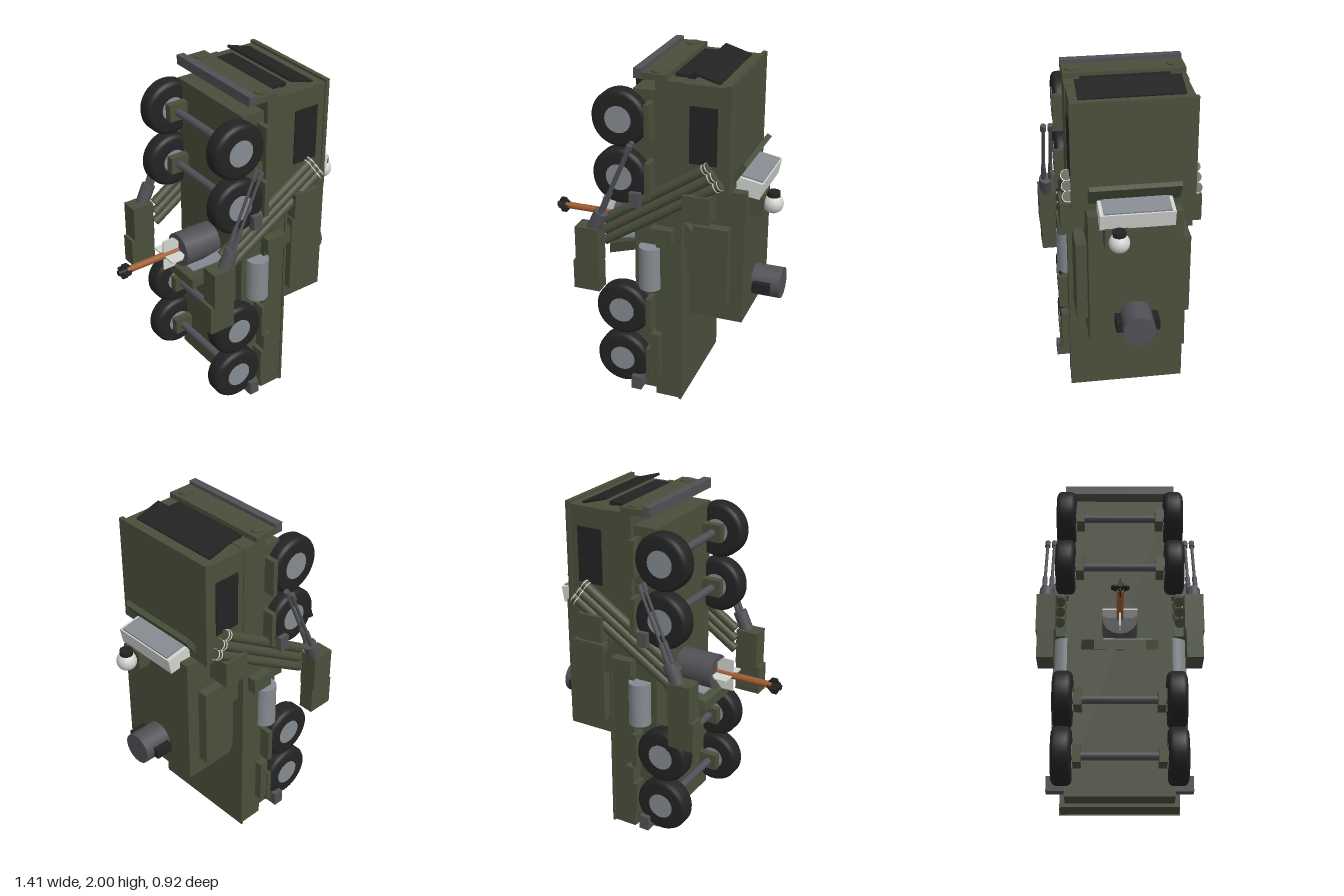
import * as THREE from 'three';

const mat = (name, color) => {
  const m = new THREE.MeshStandardMaterial({ color });
  m.name = name;
  return m;
};
const green = mat('olive green', 0x494f3b);
const black = mat('black', 0x232323);
const steel = mat('dark steel', 0x505055);
const grey = mat('light grey', 0x858b91);
const white = mat('off white', 0xd2d4cf);
const orange = mat('orange brown', 0x9c5c30);

// The truck stands on its tail: nose is +y, roof is +x, wheels are -x.
export function createModel() {
  const model = new THREE.Group();
  model.name = 'uprightMissileTruck';

  const add = (name, geometry, material) => {
    const mesh = new THREE.Mesh(geometry, material);
    mesh.name = name;
    model.add(mesh);
    return mesh;
  };
  // Box from its limits on each axis
  const box = (name, m, x0, x1, y0, y1, z0, z1) => {
    const mesh = add(name, new THREE.BoxGeometry(x1 - x0, y1 - y0, Math.abs(z1 - z0)), m);
    mesh.position.set((x0 + x1) / 2, (y0 + y1) / 2, (z0 + z1) / 2);
    return mesh;
  };
  // Cylinder between two points
  const rod = (name, m, a, b, r, sides = 24, rEnd = r) => {
    const p = new THREE.Vector3(...a), q = new THREE.Vector3(...b);
    const d = q.clone().sub(p);
    const mesh = add(name, new THREE.CylinderGeometry(rEnd, r, d.length(), sides), m);
    mesh.position.copy(p).add(q).multiplyScalar(0.5);
    mesh.quaternion.setFromUnitVectors(new THREE.Vector3(0, 1, 0), d.normalize());
    return mesh;
  };
  // Side outline in x,y extruded from z0 to z1
  const slab = (name, m, points, z0, z1) => {
    const shape = new THREE.Shape(points.map(p => new THREE.Vector2(...p)));
    const mesh = add(name, new THREE.ExtrudeGeometry(shape, { depth: z1 - z0, bevelEnabled: false }), m);
    mesh.position.z = z0;
    return mesh;
  };

  // Chassis and hull
  box('lowerHull', green, -0.085, 0.05, 0.03, 1.88, -0.3, 0.3);
  box('upperHull', green, 0.05, 0.2, 0.01, 1.95, -0.33, 0.33);
  box('deckPlate', green, 0.19, 0.205, 0.005, 1.36, -0.337, 0.337);

  // Cab
  box('cab', green, 0.19, 0.445, 1.35, 1.945, -0.325, 0.325);
  box('cabRoof', green, 0.44, 0.465, 1.35, 1.96, -0.332, 0.332);
  box('frontShelf', green, -0.025, 0.115, 1.945, 1.98, -0.33, 0.33);
  box('bumper', steel, -0.07, -0.025, 1.945, 2.0, -0.33, 0.33);
  box('grille', black, 0.13, 0.24, 1.945, 1.967, -0.24, 0.24);
  slab('windscreen', black, [[0.235, 1.985], [0.39, 1.94], [0.392, 1.952], [0.24, 1.998]], -0.28, 0.28);

  // Sloping hatch behind the cab
  slab('hatch', green, [[0.41, 1.37], [0.44, 1.35], [0.535, 1.495], [0.51, 1.51]], -0.245, 0.245);

  // Turret
  box('turretBase', green, 0.2, 0.235, 0.8, 1.35, -0.25, 0.25);
  box('turret', green, 0.225, 0.535, 0.555, 1.345, -0.255, 0.255);

  // Sight housing with glass
  slab('sightHousing', white, [[0.45, 1.32], [0.595, 1.3], [0.612, 1.39], [0.45, 1.42]], -0.2, 0.2);
  slab('sightGlass', grey, [[0.46, 1.419], [0.605, 1.392], [0.606, 1.4], [0.461, 1.427]], -0.18, 0.18);

  // Ball camera on a bracket
  box('cameraBracket', green, 0.53, 0.61, 1.195, 1.305, 0.05, 0.175);
  add('cameraBall', new THREE.SphereGeometry(0.056, 32, 20), white).position.set(0.65, 1.25, 0.105);
  rod('cameraCap', black, [0.65, 1.285, 0.105], [0.65, 1.32, 0.105], 0.036);

  // Rear roof drum
  rod('roofDrum', steel, [0.53, 0.71, 0], [0.7, 0.71, 0], 0.09, 32);

  // Axles
  const axleHeights = [1.72, 1.39, 0.56, 0.235];
  for (const y of axleHeights) rod('axle', steel, [-0.145, y, -0.3], [-0.145, y, 0.3], 0.023);

  // Tyre profile: radius, width
  const tyre = [[0.07, -0.055], [0.135, -0.055], [0.152, -0.046], [0.16, -0.03],
    [0.16, 0.03], [0.152, 0.046], [0.135, 0.055], [0.07, 0.055]].map(p => new THREE.Vector2(...p));

  for (const s of [1, -1]) {
    // Wheels and mudguards
    for (const y of axleHeights) {
      const t = add('tyre', new THREE.LatheGeometry(tyre, 40), black);
      t.rotation.x = Math.PI / 2;
      t.position.set(-0.147, y, s * 0.315);
      rod('hub', grey, [-0.147, y, s * 0.262], [-0.147, y, s * 0.372], 0.075, 28);
      box('suspensionBlock', green, -0.2, -0.08, y - 0.05, y + 0.05, s * 0.21, s * 0.255);
      box('mudguard', green, 0.005, 0.035, y - 0.105, y + 0.105, s * 0.28, s * 0.382);
    }
    box('rearLocker', green, 0.03, 0.085, 0.165, 0.44, s * 0.28, s * 0.375);

    // Steel feet
    for (const y of [0.06, 1.235]) box('foot', steel, -0.08, -0.02, y, y + 0.085, s * 0.28, s * 0.4);

    // Headlamp and side window
    rod('headlamp', green, [0.05, 1.975, s * 0.275], [0.05, 1.988, s * 0.275], 0.04);
    box('sideWindow', black, 0.24, 0.393, 1.51, 1.83, s * 0.32, s * 0.33);

    // Fuel tank and side boxes
    rod('fuelTank', grey, [0.013, 0.72, s * 0.32], [0.013, 0.98, s * 0.32], 0.064, 32);
    box('upperSideBox', green, 0.22, 0.373, 1.19, 1.345, s * 0.25, s * 0.385);
    box('lowerSideBox', green, 0.035, 0.16, 1.03, 1.12, s * 0.32, s * 0.385);

    // Turret side panel with its wedge
    box('turretPanel', green, 0.26, 0.46, 0.66, 1.14, s * 0.25, s * 0.315);
    const z = s > 0 ? 0.25 : -0.305;
    slab('turretWedge', green, [[0.21, 1.15], [0.21, 0.98], [0.265, 0.98], [0.265, 1.08]], z, z + 0.055);
    box('drumLug', black, 0.55, 0.65, 0.68, 0.74, s * 0.08, s * 0.12);

    // Launch tubes with pale collars
    for (const [x, y, low] of [[0.355, 1.51, 1.11], [0.39, 1.465, 1.045], [0.425, 1.42, 0.98]]) {
      const a = [-0.25, low, s * 0.335], b = [x, y, s * 0.345];
      rod('launchTube', green, a, b, 0.028, 20);
      for (const k of [0.955, 0.985]) {
        const at = (f) => a.map((v, i) => v + (b[i] - v) * f);
        rod('tubeCollar', white, at(k), at(k + 0.007), 0.031, 20);
      }
    }

    // Outrigger pods
    box('upperPod', green, -0.38, -0.245, 0.875, 1.095, s * 0.355, s * 0.46);
    box('lowerPod', green, -0.4, -0.245, 0.705, 0.88, s * 0.36, s * 0.45);

    // Twin-rod pistons
    rod('pistonBody', steel, [-0.285, 1.08, s * 0.415], [-0.235, 1.19, s * 0.415], 0.04);
    for (const pz of [0.39, 0.43]) {
      rod('pistonRod', steel, [-0.25, 1.16, s * pz], [-0.06, 1.6, s * pz], 0.009, 12);
      rod('pistonSleeve', steel, [-0.24, 1.18, s * pz], [-0.19, 1.3, s * pz], 0.014, 12);
      rod('pistonTip', steel, [-0.075, 1.57, s * pz], [-0.058, 1.61, s * pz], 0.016, 12);
    }
  }

  // Sloping belly cradle: trapezoid plate narrowing away from the hull
  const cradle = (name, m, x0, x1, w0, w1, drop, thick) => {
    const g = new THREE.BoxGeometry(1, 1, 1);
    const p = g.attributes.position;
    for (let i = 0; i < p.count; i++) {
      const t = 0.5 - p.getX(i);
      const x = x0 + (x1 - x0) * t;
      p.setXYZ(i, x, drop + (x + 0.08) * 0.45 + p.getY(i) * thick, p.getZ(i) * 2 * (w0 + (w1 - w0) * t));
    }
    g.computeVertexNormals();
    return add(name, g, m);
  };
  cradle('bellyCradle', green, -0.07, -0.31, 0.225, 0.142, 0.925, 0.06);
  cradle('cradlePanel', grey, -0.085, -0.27, 0.195, 0.09, 0.958, 0.008);

  // Rocket pointing out from the belly
  const ry = 0.985;
  rod('rocketMount', steel, [-0.085, ry, 0], [-0.31, ry, 0], 0.1, 16);
  rod('rocketBody', orange, [-0.3, ry, 0], [-0.65, ry, 0], 0.02, 16);
  rod('rocketTail', black, [-0.63, ry, 0], [-0.705, ry, 0], 0.016, 16);
  const finSet = (name, m, x, outline, thick) => {
    for (let i = 0; i < 4; i++) {
      const shape = new THREE.Shape(outline.map(p => new THREE.Vector2(...p)));
      const g = new THREE.ExtrudeGeometry(shape, { depth: thick, bevelEnabled: false });
      g.translate(0, 0, -thick / 2);
      const fin = add(name, g, m);
      fin.position.set(x, ry, 0);
      fin.rotation.x = i * Math.PI / 2;
    }
  };
  finSet('frontFin', white, -0.41, [[0, 0], [0.11, 0], [0.11, 0.055], [0.07, 0.095], [0, 0.095]], 0.009);
  finSet('tailFin', black, -0.69, [[0, 0], [0.06, 0], [0.06, 0.025], [0.04, 0.048], [0.01, 0.048], [0, 0.03]], 0.009);

  return model;
}
